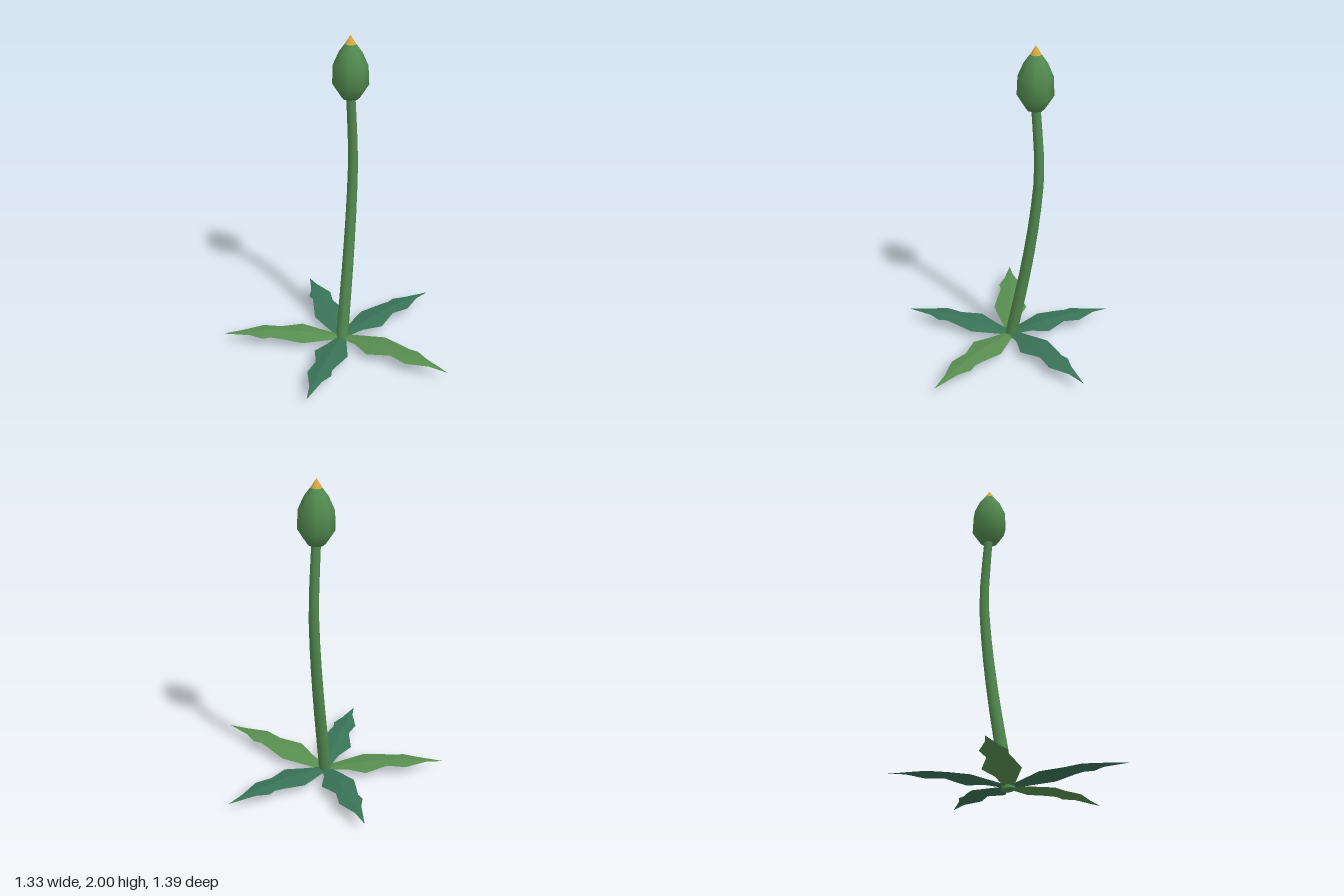
import * as THREE from 'three';

const mat = (name, color, side = THREE.FrontSide) => {
  const m = new THREE.MeshStandardMaterial({ color, side });
  m.name = name;
  return m;
};

// Half outlines of a jagged leaf: [fraction of length, half width]
const LEFT = [[0, 0.02], [0.06, 0.042], [0.333, 0.109], [0.51, 0.08], [0.6, 0.066], [0.667, 0.076], [0.77, 0.04], [1, 0]];
const RIGHT = [[0, 0.02], [0.18, 0.053], [0.333, 0.107], [0.515, 0.057], [0.6, 0.067], [0.667, 0.075], [0.845, 0.02], [1, 0]];
const RIB = [0, 0.12, 0.333, 0.51, 0.6, 0.667, 0.8, 1];

// Leaf along +x: arched midrib with both halves folded slightly down
function leafGeometry(length) {
  const point = (f, w) => [f * length, 0.025 + 0.181 * f - 0.141 * f * f - 0.15 * Math.abs(w), w];
  const pos = [];
  const quad = (a, b, c, d) => pos.push(...a, ...b, ...c, ...a, ...c, ...d);
  for (let i = 0; i < RIB.length - 1; i++) {
    const m0 = point(RIB[i], 0), m1 = point(RIB[i + 1], 0);
    const edge = (side, s, k) => point(side[k][0], s * side[k][1]);
    quad(m0, edge(RIGHT, 1, i), edge(RIGHT, 1, i + 1), m1);
    quad(m0, m1, edge(LEFT, -1, i + 1), edge(LEFT, -1, i));
  }
  const g = new THREE.BufferGeometry();
  g.setAttribute('position', new THREE.Float32BufferAttribute(pos, 3));
  g.computeVertexNormals();
  return g;
}

export function createModel() {
  const model = new THREE.Group();
  model.name = 'buddingPlant';
  const green = mat('stemGreen', 0x528a4f);
  const lightLeaf = mat('lightLeafGreen', 0x588e50, THREE.DoubleSide);
  const darkLeaf = mat('darkLeafGreen', 0x397358, THREE.DoubleSide);
  const gold = mat('petalGold', 0xd2a73c);
  const add = (name, geometry, material) => {
    const mesh = new THREE.Mesh(geometry, material);
    mesh.name = name;
    model.add(mesh);
    return mesh;
  };

  // Curved stem, tapering upwards
  const path = new THREE.CatmullRomCurve3([
    [-0.07, 0.008, -0.07], [0.032, 0.6, -0.118], [0.082, 1.0, -0.141],
    [0.096, 1.25, -0.148], [0.07, 1.64, -0.137],
  ].map(p => new THREE.Vector3(...p)));
  const rings = 10, sides = 8;
  const stem = new THREE.TubeGeometry(path, rings, 1, sides);
  const p = stem.attributes.position, v = new THREE.Vector3();
  for (let i = 0; i < p.count; i++) {
    const t = Math.floor(i / (sides + 1)) / rings;
    const centre = path.getPointAt(t);
    v.fromBufferAttribute(p, i).sub(centre).multiplyScalar(0.039 - 0.012 * t).add(centre);
    p.setXYZ(i, v.x, v.y, v.z);
  }
  add('stem', stem, green);
  const foot = add('stemFoot', new THREE.CircleGeometry(0.039, sides), green);
  foot.position.copy(path.getPoint(0));
  foot.lookAt(foot.position.clone().sub(path.getTangent(0)));

  // Closed bud with a golden petal tip
  const profile = [[0, 1.62], [0.053, 1.62], [0.108, 1.705], [0.103, 1.82], [0.068, 1.9], [0.033, 1.947]]
    .map(([r, y]) => new THREE.Vector2(r, y));
  add('bud', new THREE.LatheGeometry(profile, 8), green).position.set(0.068, 0, -0.135);
  add('budTip', new THREE.ConeGeometry(0.034, 0.055, 8), gold).position.set(0.068, 1.9725, -0.135);

  // Rosette of five leaves: tip x, tip z, material
  const centre = [-0.07, -0.07];
  [
    [0.665, -0.028, darkLeaf], [0.172, -0.698, darkLeaf], [-0.66, -0.55, lightLeaf],
    [-0.669, 0.313, darkLeaf], [0.128, 0.69, lightLeaf],
  ].forEach(([x, z, material], i) => {
    const dx = x - centre[0], dz = z - centre[1];
    const leaf = add('leaf' + (i + 1), leafGeometry(Math.hypot(dx, dz)), material);
    leaf.position.set(centre[0], 0, centre[1]);
    leaf.rotation.y = Math.atan2(-dz, dx);
  });
  return model;
}
